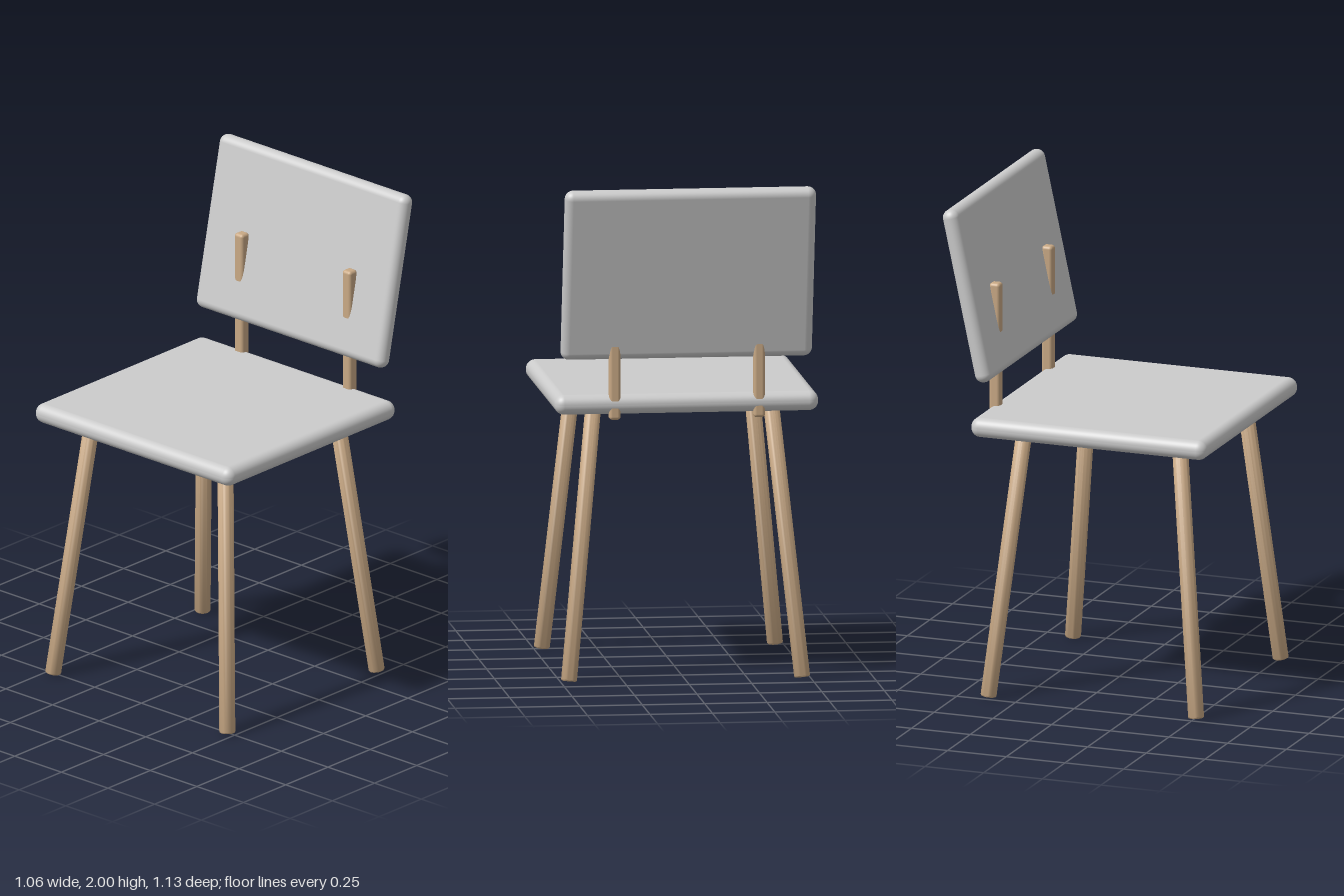
import * as THREE from 'three';
import { RoundedBoxGeometry } from 'three/addons/geometries/RoundedBoxGeometry.js';
import { toCreasedNormals } from 'three/addons/utils/BufferGeometryUtils.js';

const grey = new THREE.MeshStandardMaterial({ color: 0xcccccc });
const wood = new THREE.MeshStandardMaterial({ color: 0xc9a985 });

function roundedPart(name, size, radius, position, material) {
  const mesh = new THREE.Mesh(new RoundedBoxGeometry(...size, 5, radius), material);
  mesh.name = name;
  mesh.position.set(...position);
  return mesh;
}

// Round rod with softly bevelled ends, running from one point to another
function rod(name, from, to, radius, bevel) {
  const length = from.distanceTo(to);
  const profile = [
    [0, 0], [radius - bevel, 0], [radius - bevel * 0.3, bevel * 0.3], [radius, bevel],
    [radius, length - bevel], [radius - bevel, length], [0, length],
  ].map(([x, y]) => new THREE.Vector2(x, y));
  const geometry = toCreasedNormals(new THREE.LatheGeometry(profile, 24), 0.9);
  const mesh = new THREE.Mesh(geometry, wood);
  mesh.name = name;
  mesh.position.copy(from);
  const direction = to.clone().sub(from).normalize();
  mesh.quaternion.setFromUnitVectors(new THREE.Vector3(0, 1, 0), direction);
  return mesh;
}

export function createModel() {
  const chair = new THREE.Group();
  chair.name = 'chair';

  // Seat pad
  chair.add(roundedPart('seat', [1.056, 0.08, 1.004], 0.038, [0, 1.12, 0.063], grey));

  // Backrest, leaning backwards
  const backrest = roundedPart('backrest', [1.006, 0.714, 0.068], 0.033, [0, 1.65, -0.466], grey);
  backrest.rotation.x = -0.212;
  chair.add(backrest);

  for (const side of [1, -1]) {
    const label = side > 0 ? 'Left' : 'Right';

    // Upright that passes through the seat edge and the backrest
    chair.add(roundedPart(`backPost${label}`, [0.046, 0.605, 0.046], 0.013,
      [side * 0.289, 1.361, -0.414], wood));

    // Splayed legs
    for (const [name, zFoot, zTop] of [['front', 0.507, 0.394], ['rear', -0.378, -0.265]]) {
      chair.add(rod(`${name}Leg${label}`,
        new THREE.Vector3(side * 0.467, 0.004, zFoot),
        new THREE.Vector3(side * 0.355, 1.1, zTop), 0.032, 0.006));
    }
  }
  return chair;
}
